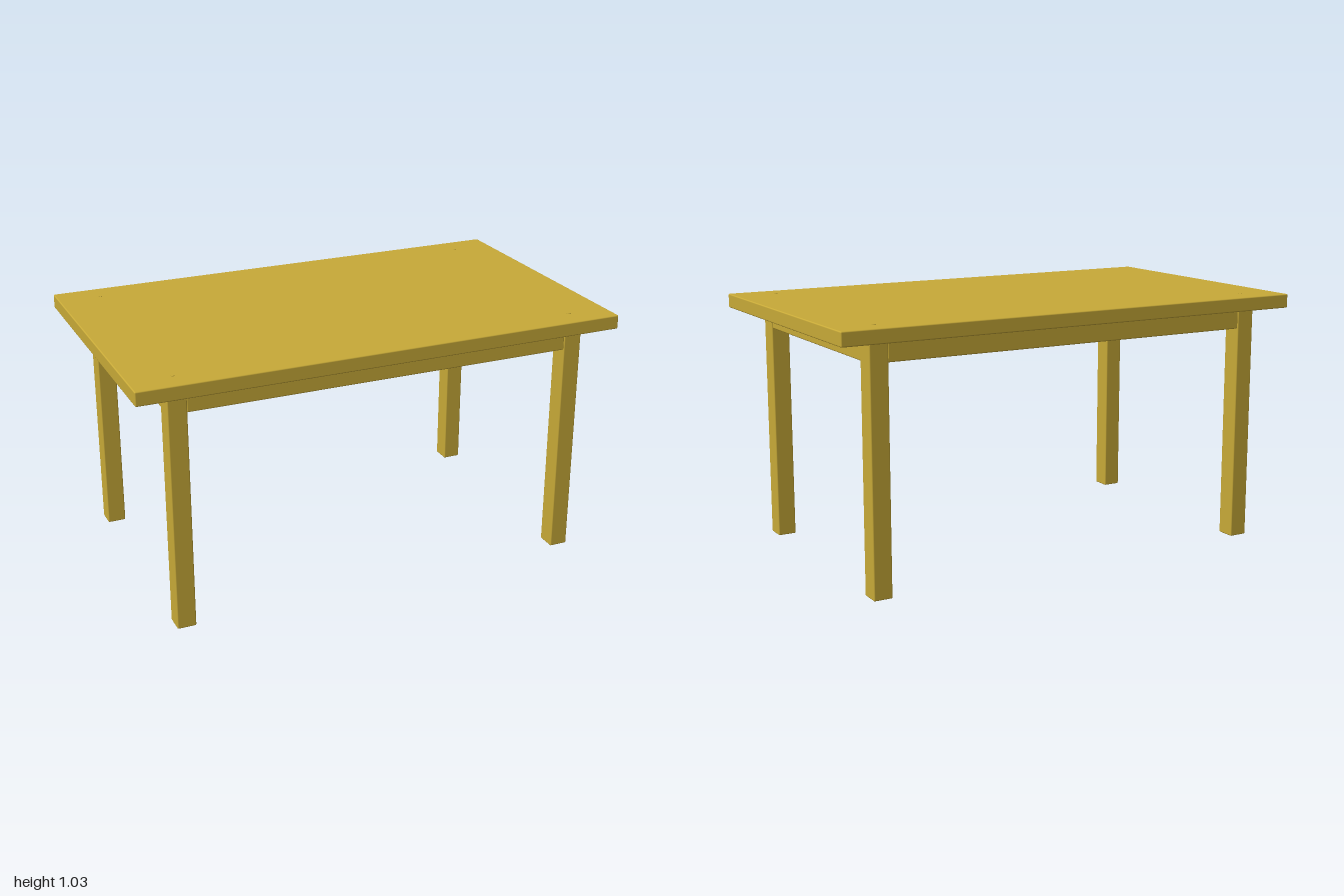
import * as THREE from 'three';
import { RoundedBoxGeometry } from 'three/addons/geometries/RoundedBoxGeometry.js';

export function createModel() {
  const table = new THREE.Group();
  table.name = 'table';
  const wood = new THREE.MeshStandardMaterial({ color: 0xc8aa38 });

  // Softly eased board, given its size and centre
  function board(name, w, h, d, x, y, z) {
    const mesh = new THREE.Mesh(new RoundedBoxGeometry(w, h, d, 2, 0.005), wood);
    mesh.name = name;
    mesh.position.set(x, y, z);
    table.add(mesh);
  }

  board('tableTop', 2, 0.057, 1.16, 0, 0.9975, 0);

  for (const s of [1, -1]) {
    const side = s > 0 ? 'left' : 'right';
    const end = s > 0 ? 'front' : 'back';

    // Aprons, flush with the outer faces of the legs
    board(end + 'Apron', 1.585, 0.078, 0.04, 0, 0.928, s * 0.498);
    board(side + 'Apron', 0.04, 0.078, 0.882, s * 0.844, 0.928, 0);

    for (const t of [1, -1]) {
      const corner = (t > 0 ? 'front' : 'back') + (s > 0 ? 'Left' : 'Right');
      board(corner + 'Leg', 0.076, 0.967, 0.08, s * 0.829, 0.4835, t * 0.481);

      // Peg that just breaks the table's surface
      const peg = new THREE.Mesh(new THREE.CylinderGeometry(0.008, 0.008, 0.062, 12), wood);
      peg.name = corner + 'Peg';
      peg.position.set(s * 0.829, 0.9965, t * 0.481);
      table.add(peg);
    }
  }
  return table;
}
